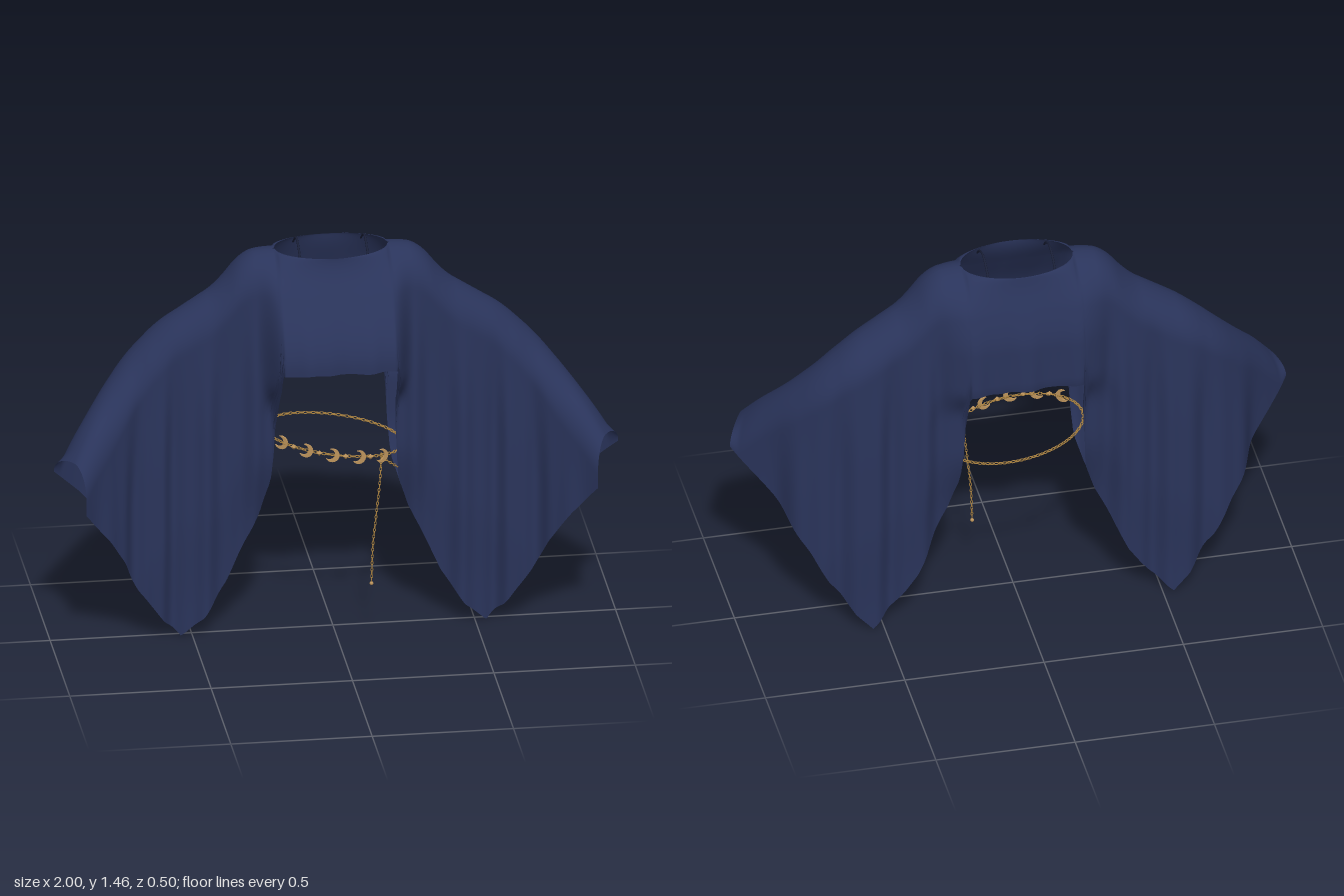
import * as THREE from 'three';
import { mergeGeometries } from 'three/addons/utils/BufferGeometryUtils.js';

const navy = new THREE.MeshStandardMaterial({ name: 'navyCloth', color: 0x2a345b, side: THREE.DoubleSide });
const dark = new THREE.MeshStandardMaterial({ name: 'darkStrap', color: 0x1a2038 });
const gold = new THREE.MeshStandardMaterial({ name: 'gold', color: 0xbd945c });
const bronze = new THREE.MeshStandardMaterial({ name: 'goldChain', color: 0xa98140 });

const { smoothstep: smooth, clamp, lerp } = THREE.MathUtils;

// piecewise linear lookup in [[x, value], ...]
function lookup(table, x) {
  if (x <= table[0][0]) return table[0][1];
  for (let i = 1; i < table.length; i++) {
    const [x0, a] = table[i - 1], [x1, b] = table[i];
    if (x <= x1) return a + (b - a) * (x - x0) / (x1 - x0);
  }
  return table[table.length - 1][1];
}
// the same, averaged over a small window to round the corners
function soft(table, x, r = 0.035) {
  let s = 0;
  for (let k = -4; k <= 4; k++) s += lookup(table, x + k * r / 4);
  return s / 9;
}

const END = 0.94;
// shoulder and arm ridge height, and its sweep in plan
const RIDGE = [[0, 1.425], [0.25, 1.43], [0.31, 1.415], [0.36, 1.355], [0.4, 1.3], [0.5, 1.235], [0.6, 1.17],
  [0.7, 1.075], [0.8, 0.955], [0.9, 0.82], [0.94, 0.75], [1, 0.66]];
const SWEEP = [[0, -0.055], [0.6, -0.06], [0.7, -0.035], [0.8, 0.03], [0.94, 0.18], [1.1, 0.35]];
// lower edge of each sleeve
const HEM = [[0.205, 0.97], [0.214, 0.75], [0.225, 0.58], [0.262, 0.46], [0.31, 0.36], [0.38, 0.2],
  [0.46, 0.08], [0.54, 0.005], [0.6, 0.07], [0.69, 0.2], [0.75, 0.33], [0.82, 0.45], [0.9, 0.57], [1, 0.685]];

// one point of the cloth: u runs across, v from neck or ridge to hem, s is +1 front, -1 back
function clothPoint(u, v, s) {
  const a = Math.abs(u);
  const slope = (soft(SWEEP, a + 0.02) - soft(SWEEP, a - 0.02)) / 0.04;
  const len = Math.hypot(1, slope);
  const lean = 0.55 * slope / len;

  // half width of the sleeve, with the ridge nearer the front at the cuff
  const cuff = smooth(a, 0.8, END);
  const base = s > 0 ? 0.11 - 0.02 * cuff : 0.118 + 0.027 * cuff;
  const top = soft(RIDGE, a);
  const hem = a < 0.205 ? (s > 0 ? 1.05 : 0.985) + 0.002 * Math.sin(u * 50) : lookup(HEM, a - s * base * lean);
  const drop = (top - hem) * v * v;
  const y = top - drop;

  // neck hole, body fullness and hanging folds
  const neck = a < 0.2 ? 0.115 * Math.sqrt(1 - (a / 0.2) ** 2) : 0;
  const body = 1 - smooth(a, 0.19, s > 0 ? 0.28 : 0.36);
  const bulge = (s > 0 ? 0.165 * smooth(drop, -0.04, 0.36) : 0.066 * smooth(drop, -0.04, 0.27))
    * (1 - 0.9 * smooth(drop, 0.42, 0.56));
  const fold = -s * (Math.cos(a * 34) + 0.35 * Math.cos(a * 75 + s))
    * 0.017 * smooth(drop, 0.02, 0.5) * (1 - 0.6 * body) * (1 - cuff * 0.6);
  const wide = base + body * bulge + fold - 0.02 * smooth(drop, 0.75, 1.15);
  const round = Math.sqrt(1 - (1 - Math.min(drop / Math.min(0.13, top - hem), 1)) ** 2);

  // low on the sleeve the inner edge curls in
  const low = 1 - smooth(y, 0.4, 0.72);
  const inner = Math.sqrt(clamp((a - 0.2) / 0.2, 0, 1));
  const out = s * (neck + (wide - neck) * round) * lerp(1, inner, 0.8 * low);

  return [Math.sign(u) * (a - out * lean), y, soft(SWEEP, a) + out / len];
}

function clothSheet(s) {
  const cols = 320, rows = 44, pos = [], idx = [];
  for (let i = 0; i <= cols; i++)
    for (let j = 0; j <= rows; j++) pos.push(...clothPoint(END * (2 * i / cols - 1), j / rows, s));
  for (let i = 0; i < cols; i++)
    for (let j = 0; j < rows; j++) {
      const a = i * (rows + 1) + j, b = a + 1, c = a + rows + 1, d = c + 1;
      if (s > 0) idx.push(a, b, c, b, d, c);
      else idx.push(a, c, b, b, c, d);
    }
  const g = new THREE.BufferGeometry();
  g.setAttribute('position', new THREE.Float32BufferAttribute(pos, 3));
  g.setIndex(idx);
  g.computeVertexNormals();
  return g;
}

// small oval links strung along a curve, every second one turned
function chain(curve, size) {
  const links = [], X = new THREE.Vector3(1, 0, 0);
  const count = Math.round(curve.getLength() / (size * 2.6));
  for (let i = 0; i < count; i++) {
    const t = i / count;
    const g = new THREE.TorusGeometry(size, size * 0.38, 6, 10);
    g.scale(1.35, 0.8, 1);
    g.rotateX(i % 2 ? Math.PI / 2 : 0);
    g.applyQuaternion(new THREE.Quaternion().setFromUnitVectors(X, curve.getTangentAt(t)));
    const p = curve.getPointAt(t);
    g.translate(p.x, p.y, p.z);
    links.push(g);
  }
  return mergeGeometries(links);
}

const spline = (points, closed = false) =>
  new THREE.CatmullRomCurve3(points.map(p => new THREE.Vector3(...p)), closed);

function crescent(R) {
  const shape = new THREE.Shape();
  shape.absarc(0, 0, R, -2.3, 2.3, false);
  shape.absarc(-0.45 * R, 0, 0.777 * R, 1.853, -1.853, true);
  const g = new THREE.ExtrudeGeometry(shape, { depth: 0.006, bevelEnabled: false, curveSegments: 14 });
  g.translate(0, 0, -0.003);
  return g;
}

export function createModel() {
  const model = new THREE.Group();
  const add = (name, geometry, material, parent = model) => {
    const m = new THREE.Mesh(geometry, material);
    m.name = name;
    parent.add(m);
    return m;
  };

  // draped top with wide sleeves
  add('frontCloth', clothSheet(1), navy);
  add('backCloth', clothSheet(-1), navy);

  // thin straps over the neck opening
  for (const x of [-0.12, 0.12]) {
    const path = spline([[x, 1.41, 0.035], [x, 1.435, 0.01], [x, 1.46, -0.05], [x, 1.45, -0.09], [x, 1.41, -0.15]]);
    add('neckStrap', new THREE.TubeGeometry(path, 24, 0.004, 6), dark);
  }

  // tilted waist chain
  const belt = new THREE.Group();
  belt.name = 'waistChain';
  model.add(belt);
  const beltPoint = (angle) =>
    [0.01 + 0.245 * Math.cos(angle), 0.705 - 0.038 * Math.cos(angle), -0.06 + 0.19 * Math.sin(angle)];
  const ring = [];
  for (let i = 0; i < 24; i++) ring.push(beltPoint(i / 24 * Math.PI * 2));
  add('beltLinks', chain(spline(ring, true), 0.0058), bronze, belt);

  // moons with beads between them
  const angleAt = x => Math.acos((x - 0.01) / 0.245);
  [-0.19, -0.11, -0.02, 0.075, 0.16].forEach((x, i, all) => {
    const moon = add('moonCharm', crescent(0.025), gold, belt);
    moon.position.set(...beltPoint(angleAt(x)));
    moon.position.z += 0.006;
    moon.rotation.set(0, x * 3, -0.4);
    if (i === all.length - 1) return;
    const bead = add('bead', new THREE.OctahedronGeometry(0.011), gold, belt);
    bead.position.set(...beltPoint(angleAt((x + all[i + 1]) / 2)));
    bead.position.z += 0.004;
  });

  // slack strand beside the clasp
  const slack = spline([[0.16, 0.675, 0.085], [0.2, 0.635, 0.06], [0.245, 0.6, 0.015], [0.255, 0.66, -0.05]]);
  add('slackChain', chain(slack, 0.005), bronze, belt);

  // loose end of the chain
  const tail = spline([[0.16, 0.68, 0.085], [0.152, 0.6, 0.11], [0.137, 0.47, 0.12], [0.125, 0.35, 0.12], [0.12, 0.21, 0.12]]);
  add('hangingChain', chain(tail, 0.0048), bronze, belt);
  add('chainDrop', new THREE.SphereGeometry(0.007, 10, 8), gold, belt).position.set(0.12, 0.208, 0.12);

  return model;
}
